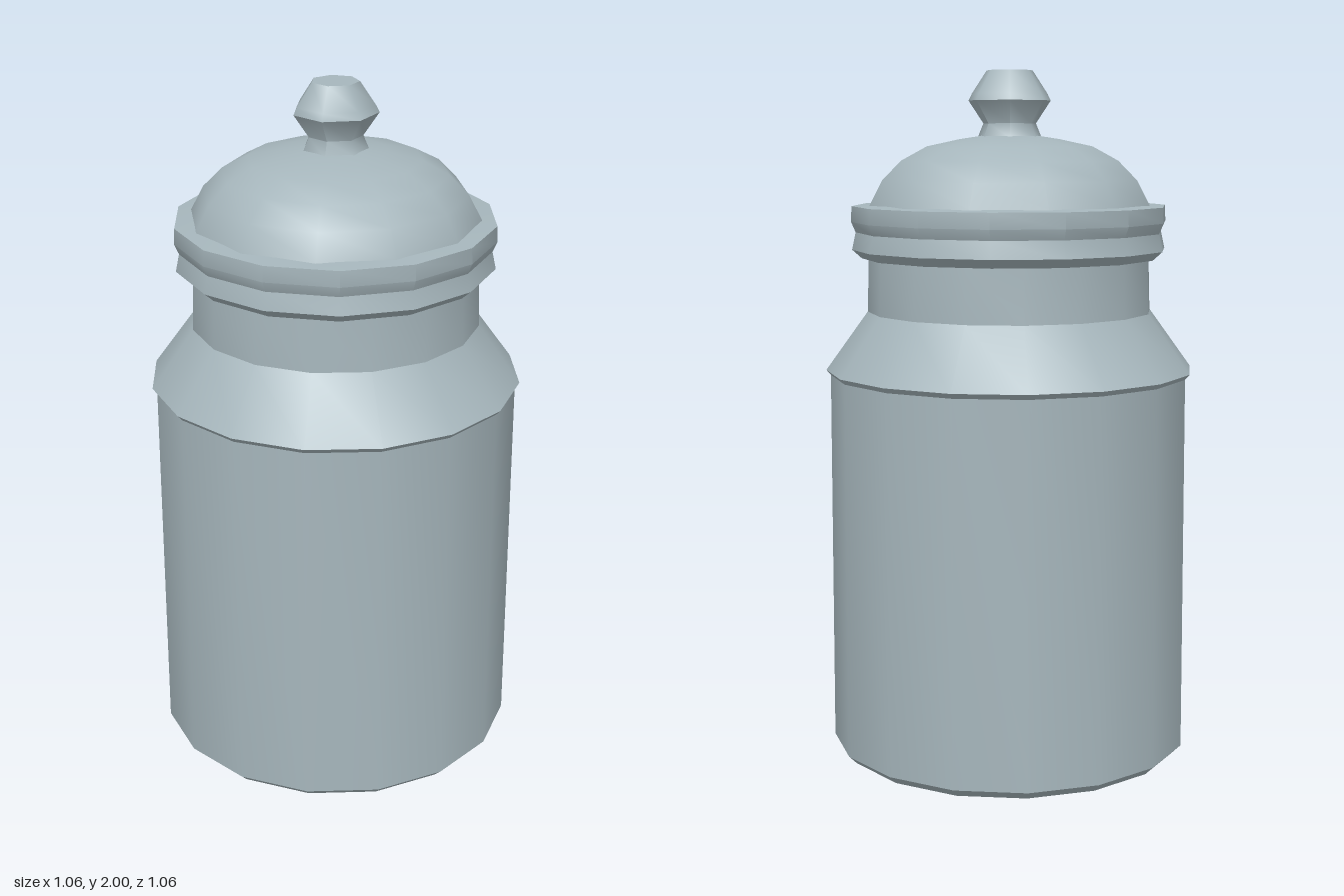
import * as THREE from 'three';
import { toCreasedNormals } from 'three/addons/utils/BufferGeometryUtils.js';

const ceramic = new THREE.MeshStandardMaterial({ color: 0xa6b6bc });
ceramic.name = 'greyCeramic';

// Turned part: profile of [radius, height] from bottom to top, with sharp edges kept
function turned(name, profile, sides, crease, turn = 0) {
  const points = profile.map(([r, y]) => new THREE.Vector2(r, y));
  const geometry = toCreasedNormals(new THREE.LatheGeometry(points, sides, turn), crease);
  const mesh = new THREE.Mesh(geometry, ceramic);
  mesh.name = name;
  return mesh;
}

export function createModel() {
  const jar = new THREE.Group();
  jar.name = 'lidded jar';

  // Straight wall with a narrow base bevel, sloping shoulder and neck
  jar.add(turned('body', [
    [0, 0.005], [0.505, 0.005], [0.53, 0.03], [0.525, 1.125], [0.538, 1.14],
    [0.415, 1.31], [0.41, 1.47], [0, 1.47],
  ], 16, 0.55, 0.2));

  // Thick lid rim, slightly pinched at mid height
  jar.add(turned('lidRim', [
    [0.38, 1.462], [0.43, 1.465], [0.458, 1.49], [0.447, 1.54], [0.46, 1.57],
    [0.458, 1.615], [0.4, 1.62],
  ], 14, 0.5, 0.1));

  // Domed lid
  jar.add(turned('lidDome', [
    [0.418, 1.6], [0.412, 1.62], [0.375, 1.69], [0.32, 1.745], [0.245, 1.785],
    [0.15, 1.805], [0.07, 1.817], [0, 1.82],
  ], 12, 0.6, 0.1));

  // Faceted knob on a short stem
  jar.add(turned('knob', [
    [0.095, 1.81], [0.078, 1.85], [0.122, 1.915], [0.112, 1.935], [0.068, 2], [0, 2],
  ], 7, 0.92, Math.PI / 2));

  return jar;
}
